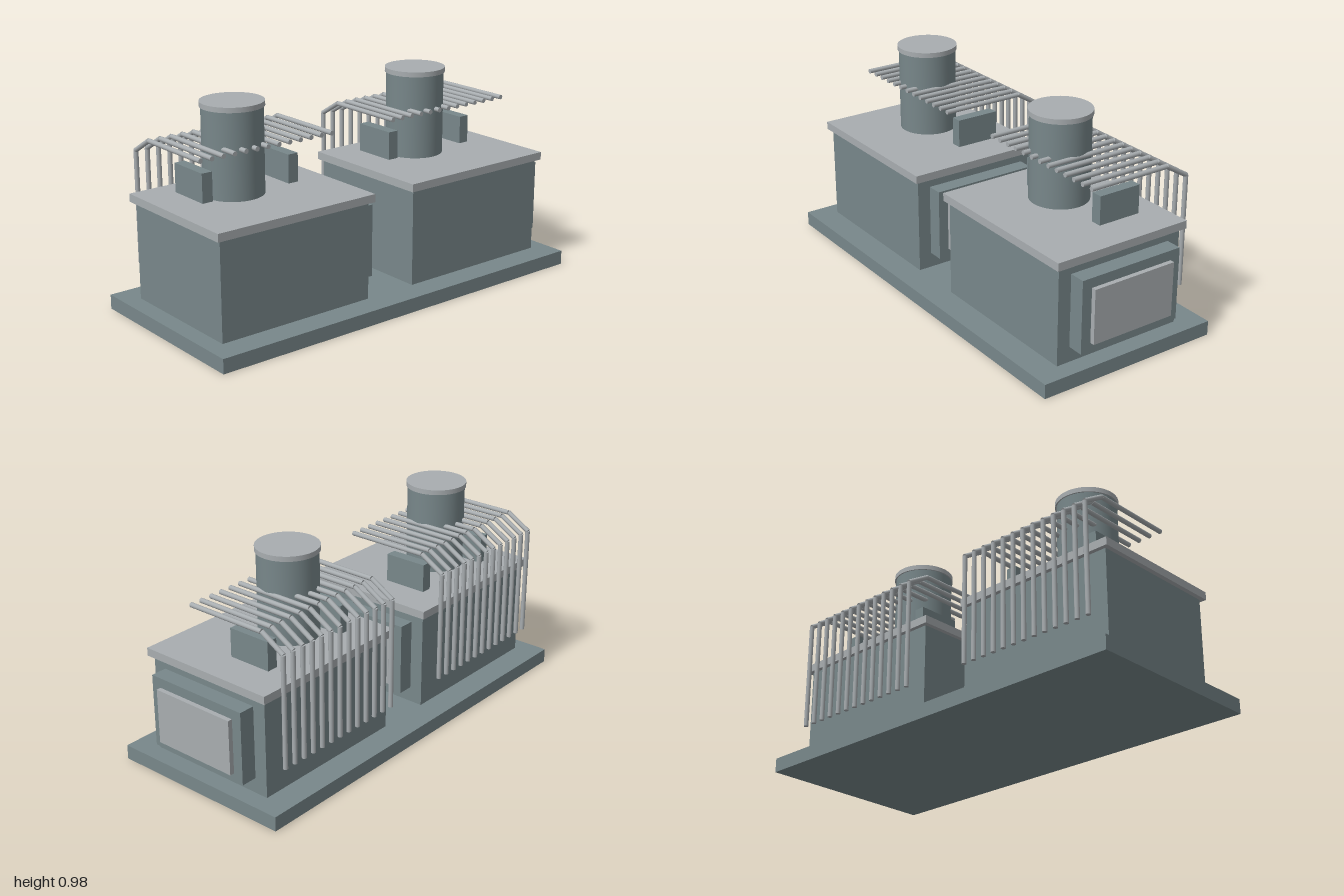
import * as THREE from 'three';

const steel = new THREE.MeshStandardMaterial({ color: 0x78878a });
steel.name = 'slate grey';
const pale = new THREE.MeshStandardMaterial({ color: 0xa8adb0 });
pale.name = 'pale grey';

function add(parent, name, geometry, material, x, y, z) {
  const mesh = new THREE.Mesh(geometry, material);
  mesh.name = name;
  mesh.position.set(x, y, z);
  parent.add(mesh);
  return mesh;
}

// Box given by its lower and upper corners
function box(parent, name, material, [x0, y0, z0], [x1, y1, z1]) {
  return add(parent, name, new THREE.BoxGeometry(x1 - x0, y1 - y0, z1 - z0), material,
    (x0 + x1) / 2, (y0 + y1) / 2, (z0 + z1) / 2);
}

// Straight pipe between two points of the xy plane
function pipe(parent, name, [x0, y0], [x1, y1]) {
  const dx = x1 - x0, dy = y1 - y0;
  const geometry = new THREE.CylinderGeometry(0.011, 0.011, Math.hypot(dx, dy), 12);
  const mesh = add(parent, name, geometry, pale, (x0 + x1) / 2, (y0 + y1) / 2, 0);
  mesh.rotation.z = Math.atan2(-dx, dy);
}

// One machine, centred on z = 0
function createUnit() {
  const unit = new THREE.Group();

  // Housing and lid
  box(unit, 'housing', steel, [-0.32, 0.067, -0.39], [0.32, 0.518, 0.39]);
  box(unit, 'lid', pale, [-0.34, 0.518, -0.411], [0.34, 0.555, 0.411]);

  // Rear access panel
  box(unit, 'panelFrame', steel, [-0.257, 0.138, -0.465], [0.257, 0.475, -0.39]);
  box(unit, 'panelPlate', pale, [-0.209, 0.177, -0.487], [0.209, 0.43, -0.465]);

  // Stack with cap, set just above the lid
  add(unit, 'stack', new THREE.CylinderGeometry(0.135, 0.135, 0.389, 48), steel, -0.036, 0.761, 0.07);
  add(unit, 'stackCap', new THREE.CylinderGeometry(0.141, 0.141, 0.023, 48), pale, -0.036, 0.967, 0.07);

  // Control boxes in front of and behind the stack
  for (const z of [0.23, -0.224]) {
    box(unit, 'controlBox', steel, [-0.212, 0.562, z - 0.026], [-0.001, 0.695, z + 0.026]);
  }

  // Row of bent pipes over the side
  for (let i = 0; i < 13; i++) {
    const bentPipe = new THREE.Group();
    bentPipe.name = 'bentPipe';
    bentPipe.position.z = (i - 6) * 0.0571;
    pipe(bentPipe, 'pipeDrop', [-0.384, 0.211], [-0.384, 0.728]);
    pipe(bentPipe, 'pipeBend', [-0.386, 0.728], [-0.272, 0.796]);
    pipe(bentPipe, 'pipeRun', [-0.27, 0.795], [0.127, 0.795]);
    unit.add(bentPipe);
  }
  return unit;
}

export function createModel() {
  const model = new THREE.Group();
  model.name = 'twinMachines';

  // Shared base slab
  box(model, 'base', steel, [-0.444, 0, -0.986], [0.444, 0.067, 1]);

  // Two identical machines in line
  [['frontUnit', 0.528], ['rearUnit', -0.512]].forEach(([name, z]) => {
    const unit = createUnit();
    unit.name = name;
    unit.position.z = z;
    model.add(unit);
  });
  return model;
}
